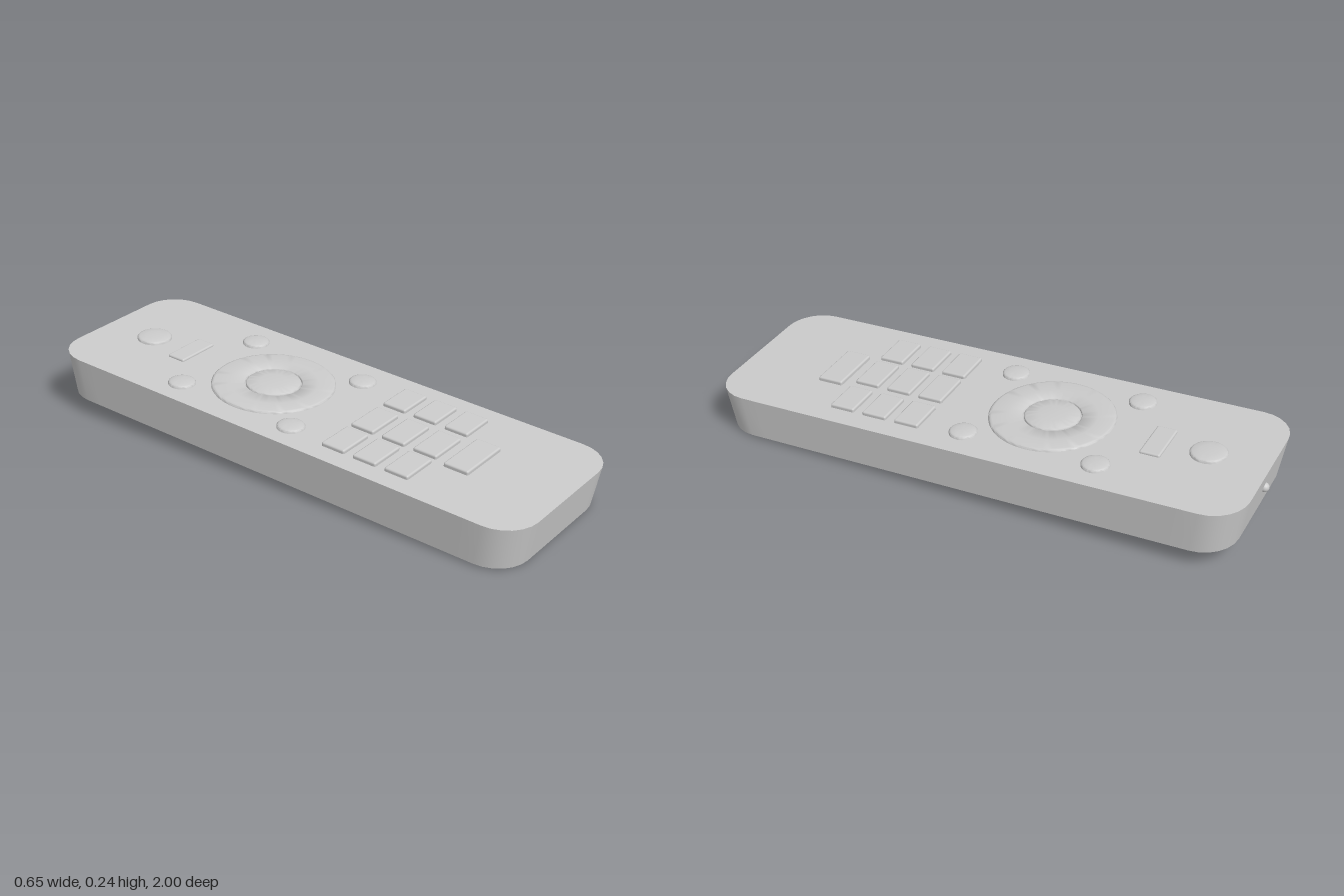
import * as THREE from 'three';
import { toCreasedNormals } from 'three/addons/utils/BufferGeometryUtils.js';
import { RoundedBoxGeometry } from 'three/addons/geometries/RoundedBoxGeometry.js';

const material = new THREE.MeshStandardMaterial({ color: 0xcccccc });
const { clamp, smoothstep, lerp } = THREE.MathUtils;
const SLOPE = 0.036;
const TOP_Y = 0.194;

function add(parent, name, geometry, x = 0, y = 0, z = 0) {
  const mesh = new THREE.Mesh(geometry, material);
  mesh.name = name;
  mesh.position.set(x, y, z);
  parent.add(mesh);
  return mesh;
}

// Height of the underside: a sloping slab with a shallow battery bulge at the back
function underside(x, z, halfWidth) {
  const slab = 0.036 - 0.034 * z;
  const belly = z > -0.35 ? lerp(0.007, 0.036, clamp((z + 0.35) / 0.37, 0, 1))
    : lerp(0.007, 0.069, clamp((-0.85 - z) / 0.12, 0, 1));
  const inset = smoothstep(halfWidth - Math.abs(x), 0, 0.1);
  return z > 0.02 ? slab : lerp(slab, Math.min(slab, belly), inset);
}

// Tapered body with rounded corners, lofted from cross-sections along z
function bodyGeometry() {
  const COLS = 24, CORNER = 6, R = 0.13;
  const rows = []; // [z, half width] of the top outline
  for (let i = 0; i <= CORNER; i++) {
    const a = (i / CORNER) * Math.PI / 2;
    rows.push([-0.995 + R * (1 - Math.cos(a)), 0.327 - R * (1 - Math.sin(a))]);
  }
  const back = rows.slice();
  for (let i = 1; i < 24; i++) rows.push([-0.865 + (1.73 * i) / 24, 0.327]);
  for (const [z, w] of back.reverse()) rows.push([-z, w]);

  const positions = [], index = [], N = 2 * (COLS + 1);
  for (const [z, w] of rows) {
    for (let c = 0; c <= COLS; c++) {
      const zt = z > 0.86 ? z + 0.004 : z;
      positions.push(lerp(-w, w, c / COLS), TOP_Y - SLOPE * zt, zt);
    }
    const zb = z * 0.974, wb = w * 0.977;
    for (let c = 0; c <= COLS; c++) {
      const x = lerp(wb, -wb, c / COLS);
      positions.push(x, underside(x, zb, wb), zb);
    }
  }
  for (let r = 0; r < rows.length - 1; r++) {
    for (let k = 0; k < N; k++) {
      const a = r * N + k, b = r * N + (k + 1) % N;
      index.push(a, a + N, b, b, a + N, b + N);
    }
  }
  // Flat end walls
  const last = (rows.length - 1) * N;
  for (let c = 0; c < COLS; c++) {
    const t = c, u = c + 1, bt = N - 1 - c, bu = N - 2 - c;
    index.push(t, u, bt, u, bu, bt);
    index.push(last + t, last + bt, last + u, last + u, last + bt, last + bu);
  }
  const g = new THREE.BufferGeometry();
  g.setAttribute('position', new THREE.Float32BufferAttribute(positions, 3));
  g.setIndex(index);
  return toCreasedNormals(g, 0.5);
}

// Round key with a rolled edge and a slightly domed top
function roundKey(r, h, dome = 0.003) {
  const profile = [
    [r, -0.01], [r, h * 0.5], [r - 0.003, h * 0.8], [r - 0.009, h],
    [r * 0.5, h + dome * 0.75], [0, h + dome],
  ].map(([x, y]) => new THREE.Vector2(x, y));
  return toCreasedNormals(new THREE.LatheGeometry(profile, 48), 0.8);
}

export function createModel() {
  const model = new THREE.Group();
  model.name = 'remoteControl';
  add(model, 'body', bodyGeometry());

  // All keys sit on the sloping top face
  const keys = new THREE.Group();
  keys.name = 'keys';
  keys.position.y = TOP_Y;
  keys.rotation.x = Math.atan(SLOPE);
  model.add(keys);

  add(keys, 'powerKey', roundKey(0.065, 0.011), -0.01, 0, -0.78);
  for (const x of [-0.217, 0.205]) {
    for (const z of [-0.46, 0.035]) add(keys, 'cornerKey', roundKey(0.05, 0.011), x, 0, z);
  }

  // Navigation ring with a gently dished face, and its centre key
  const ring = [[0.225, -0.01], [0.225, 0.003], [0.221, 0.007], [0.213, 0.009],
    [0.16, 0.0085], [0.105, 0.007], [0.102, 0.004], [0.102, -0.01]]
    .map(([x, y]) => new THREE.Vector2(x, y));
  add(keys, 'navigationRing', toCreasedNormals(new THREE.LatheGeometry(ring, 72), 0.8), -0.01, 0, -0.205);
  add(keys, 'centreKey', roundKey(0.1, 0.01, 0.005), -0.01, 0, -0.205);

  // Rectangular keys: [name, x, z, width, depth, height]
  const boxes = [
    ['sourceKey', -0.005, -0.602, 0.174, 0.075, 0.009],
    ['wideKey', 0.003, 0.63, 0.21, 0.097, 0.015],
  ];
  for (const z of [0.238, 0.366, 0.495]) {
    boxes.push(['numberKey', -0.179, z, 0.145, 0.094, 0.014]);
    boxes.push(['numberKey', -0.005, z, 0.156, 0.094, 0.014]);
    boxes.push(['numberKey', 0.179, z, 0.14, 0.094, 0.014]);
  }
  for (const [name, x, z, w, d, h] of boxes) {
    add(keys, name, new RoundedBoxGeometry(w, 0.03, d, 2, 0.007), x, h - 0.015, z);
  }

  // Infrared emitter on the back end
  add(model, 'emitter', new THREE.SphereGeometry(0.017, 20, 14), 0, 0.155, -0.983);

  // Small feet under the body
  for (const s of [-1, 1]) {
    add(model, 'frontFoot', new THREE.SphereGeometry(0.008, 12, 8), s * 0.24, 0.011, 0.85);
    add(model, 'backFoot', new THREE.SphereGeometry(0.008, 12, 8), s * 0.15, 0.008, -0.8);
  }
  return model;
}
